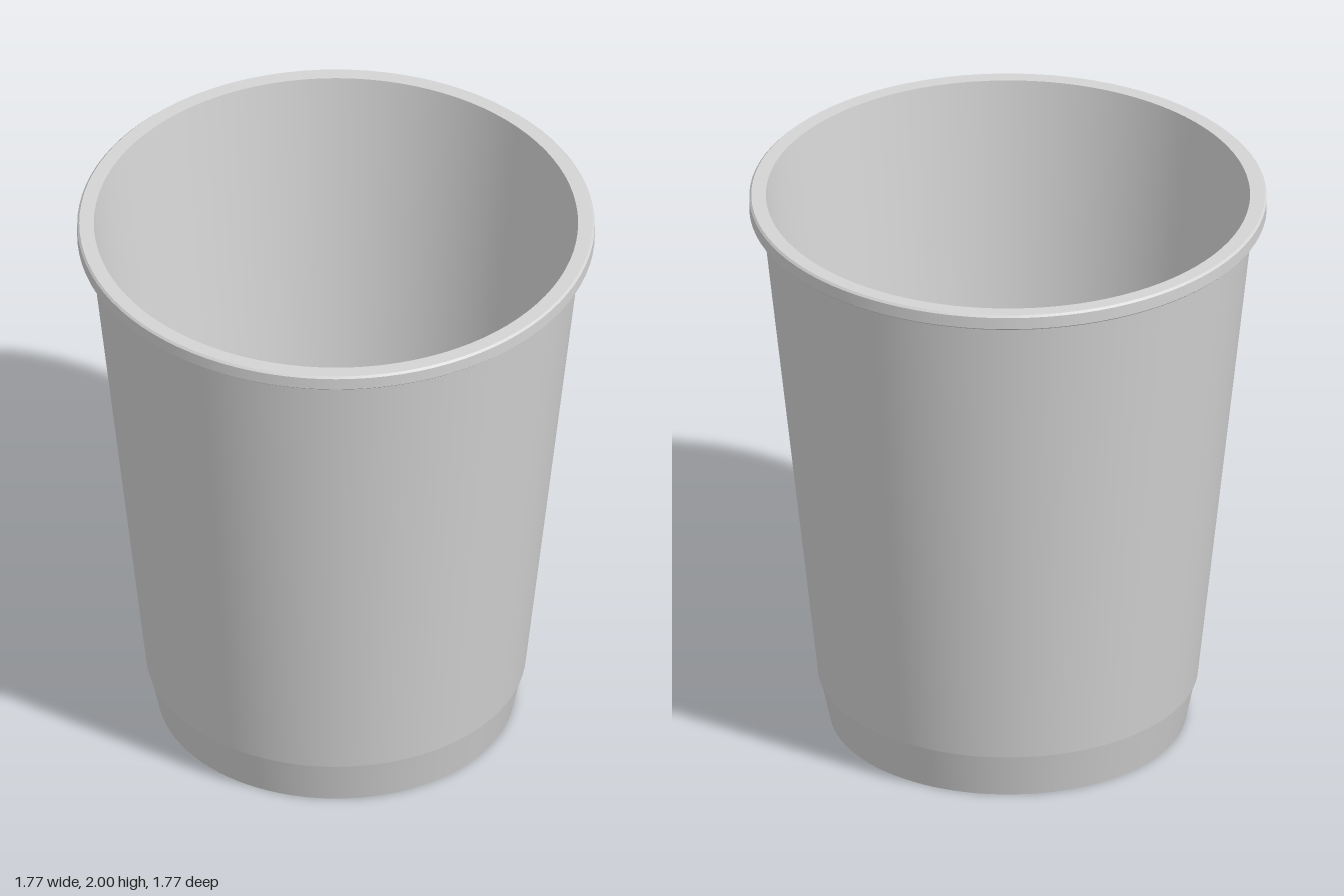
import * as THREE from 'three';
import { mergeGeometries } from 'three/addons/utils/BufferGeometryUtils.js';

const SIDES = 96;

// Revolves each profile segment separately so that the edges between them stay sharp.
// Profiles run counter-clockwise (up the outside, down the inside).
function revolve(profile) {
  const bands = [];
  for (let i = 0; i < profile.length - 1; i++) {
    const pair = [profile[i], profile[i + 1]].map(([r, y]) => new THREE.Vector2(r, y));
    bands.push(new THREE.LatheGeometry(pair, SIDES));
  }
  return mergeGeometries(bands);
}

export function createModel() {
  const cup = new THREE.Group();
  cup.name = 'cup';
  const grey = new THREE.MeshStandardMaterial({ color: 0xd4d4d4 });
  grey.name = 'light grey';

  const add = (name, profile) => {
    const mesh = new THREE.Mesh(revolve(profile), grey);
    mesh.name = name;
    cup.add(mesh);
  };

  // Tapered wall, outside and inside
  add('outerWall', [[0.645, 0.165], [0.65, 0.165], [0.842, 1.945]]);
  add('innerWall', [[0.828, 2], [0.63, 0.18]]);

  // Rolled lip with slightly eased outer corners
  add('rim', [
    [0.842, 1.945], [0.88, 1.945], [0.885, 1.95],
    [0.885, 1.993], [0.878, 2], [0.828, 2],
  ]);

  // Narrower foot ring, open underneath
  add('footRing', [[0.628, 0.16], [0.595, 0], [0.61, 0], [0.645, 0.165]]);

  // Raised floor: upper face and underside
  add('floorTop', [[0.63, 0.18], [0, 0.18]]);
  add('floorUnderside', [[0, 0.16], [0.628, 0.16]]);

  return cup;
}
